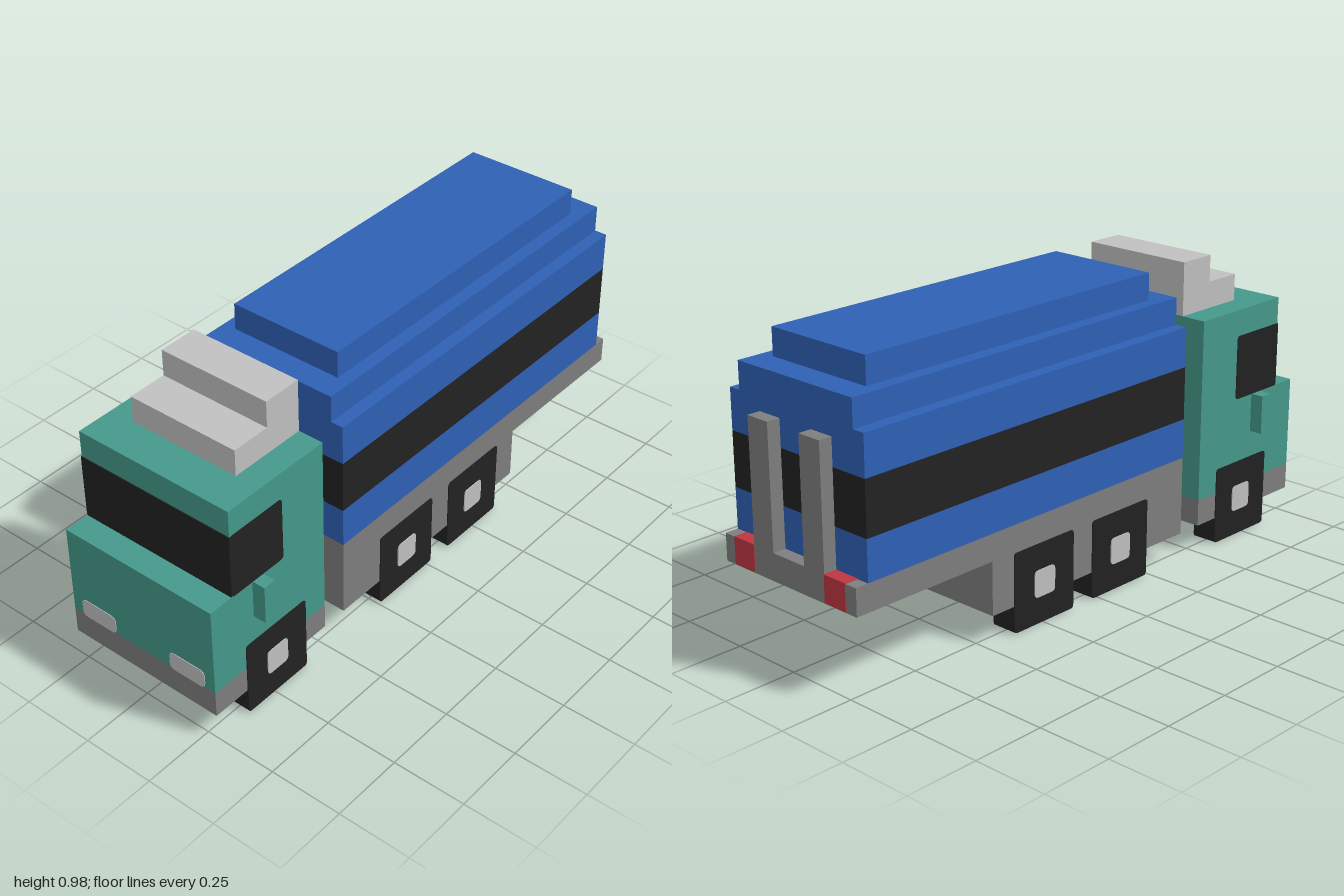
import * as THREE from 'three';

const mat = (name, color) => {
  const m = new THREE.MeshStandardMaterial({ color });
  m.name = name;
  return m;
};

export function createModel() {
  const truck = new THREE.Group();
  truck.name = 'truck';
  const blue = mat('blue', 0x2e60b5);
  const teal = mat('teal', 0x45998b);
  const black = mat('black', 0x222222);
  const grey = mat('grey', 0x7e7e7e);
  const light = mat('lightGrey', 0xc0c0c0);
  const red = mat('red', 0xbd3541);

  const add = (name, geometry, material) => {
    const mesh = new THREE.Mesh(geometry, material);
    mesh.name = name;
    truck.add(mesh);
    return mesh;
  };
  // Box given by its limits on each axis
  const box = (name, material, x0, x1, y0, y1, z0, z1) =>
    add(name, new THREE.BoxGeometry(x1 - x0, y1 - y0, z1 - z0), material)
      .position.set((x0 + x1) / 2, (y0 + y1) / 2, (z0 + z1) / 2);
  // Box centred on z = 0
  const wide = (name, material, x0, x1, y0, y1, hz) => box(name, material, x0, x1, y0, y1, -hz, hz);
  // Extruded rectangle with rounded corners, centred on its own origin
  const rounded = (w, h, r, depth) => {
    const a = w / 2, b = h / 2, s = new THREE.Shape();
    s.moveTo(-a + r, -b);
    s.lineTo(a - r, -b).quadraticCurveTo(a, -b, a, -b + r);
    s.lineTo(a, b - r).quadraticCurveTo(a, b, a - r, b);
    s.lineTo(-a + r, b).quadraticCurveTo(-a, b, -a, b - r);
    s.lineTo(-a, -b + r).quadraticCurveTo(-a, -b, -a + r, -b);
    return new THREE.ExtrudeGeometry(s, { depth, bevelEnabled: false, curveSegments: 3 })
      .translate(0, 0, -depth / 2);
  };

  const W = 0.288; // half width of the body

  // Cab
  wide('cabSkirt', grey, -1, -0.51, 0.09, 0.18, W);
  wide('cabLower', teal, -1, -0.51, 0.18, 0.49, W);
  wide('cabUpper', teal, -0.91, -0.51, 0.49, 0.8, W);
  wide('windscreen', black, -0.913, -0.909, 0.49, 0.71, W);
  wide('roofDeflectorLower', light, -0.78, -0.51, 0.8, 0.89, 0.2);
  wide('roofDeflectorUpper', light, -0.645, -0.51, 0.89, 0.98, 0.2);

  // Chassis and bed
  wide('chassisNeck', grey, -0.51, -0.42, 0.09, 0.357, 0.2);
  wide('chassis', grey, -0.42, 0.465, 0.09, 0.268, W);
  wide('bed', grey, -0.42, 1, 0.268, 0.357, W);

  // Stepped cargo body with a band all round
  wide('cargoLower', blue, -0.42, 0.955, 0.357, 0.49, W);
  wide('cargoBand', black, -0.42, 0.955, 0.49, 0.667, W);
  wide('cargoUpper', blue, -0.42, 0.955, 0.667, 0.8, W);
  wide('cargoShoulder', blue, -0.42, 0.955, 0.8, 0.89, 0.245);
  wide('cargoRoof', blue, -0.335, 0.863, 0.89, 0.98, 0.2);

  // Parts mirrored across the centre line
  for (const s of [-1, 1]) {
    const side = s > 0 ? 'Left' : 'Right';
    const pair = (name, material, x0, x1, y0, y1, z0, z1) =>
      box(name + side, material, x0, x1, y0, y1, Math.min(s * z0, s * z1), Math.max(s * z0, s * z1));

    pair('mirror', teal, -0.825, -0.78, 0.357, 0.49, W, 0.334);
    pair('rearPost', grey, 0.955, 1, 0.357, 0.757, 0.068, 0.155);
    pair('tailLightRear', red, 0.998, 1.002, 0.27, 0.359, 0.155, 0.245);
    pair('tailLightTop', red, 0.955, 1.002, 0.355, 0.359, 0.155, 0.245);

    add('sideWindow' + side, rounded(0.22, 0.22, 0.012, 0.004), black)
      .position.set(-0.802, 0.6, s * W);

    const lamp = add('headlight' + side, rounded(0.14, 0.065, 0.02, 0.004), light);
    lamp.rotation.y = Math.PI / 2;
    lamp.position.set(-1, 0.21, s * 0.18);

    // Block wheels with square hubs
    [-0.733, -0.11, 0.242].forEach((x, i) => {
      add(`wheel${side}${i + 1}`, rounded(0.264, 0.265, 0.012, 0.09), black)
        .position.set(x, 0.1325, s * 0.246);
      add(`hub${side}${i + 1}`, rounded(0.09, 0.09, 0.015, 0.004), light)
        .position.set(x, 0.134, s * 0.292);
    });
  }
  return truck;
}
